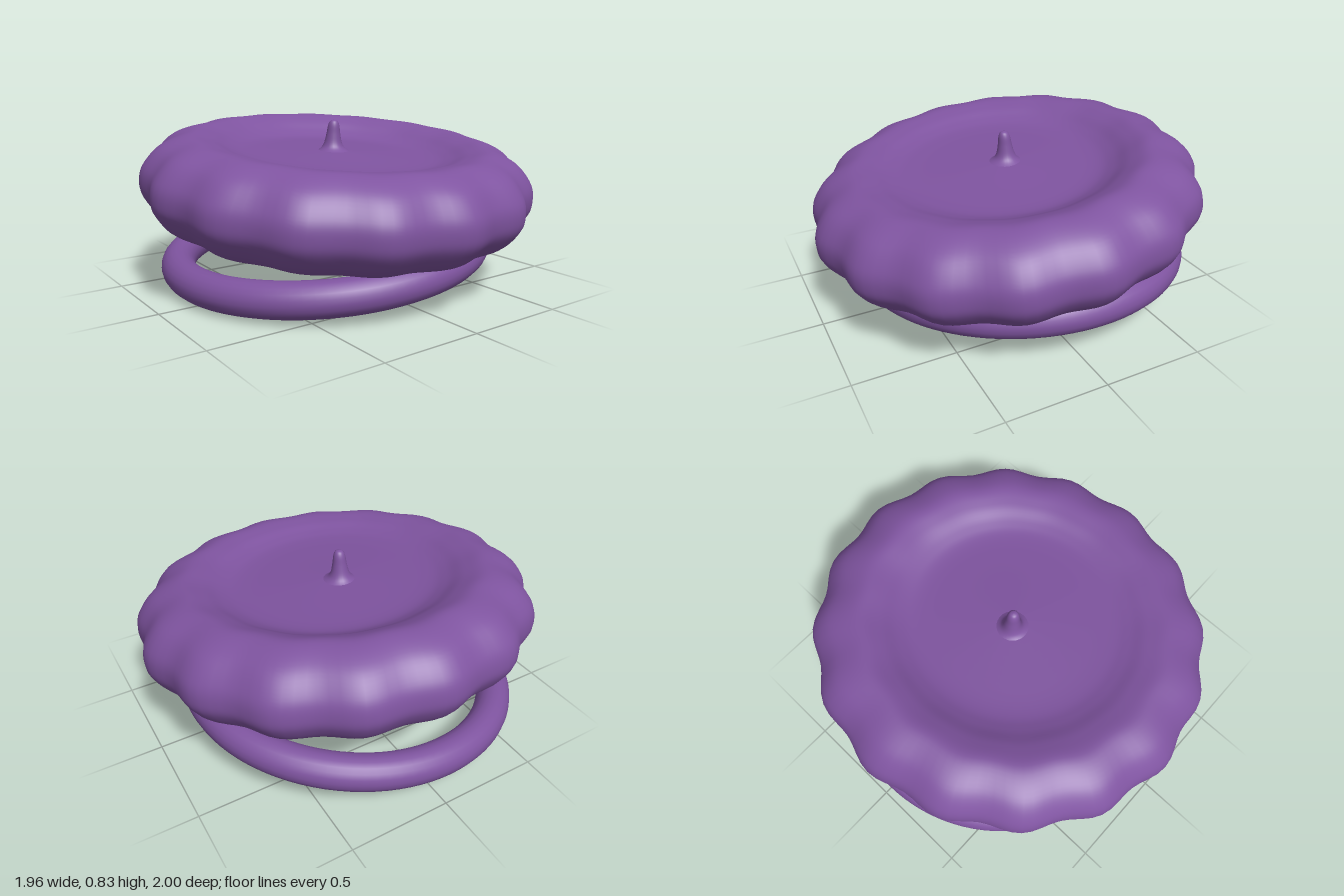
import * as THREE from 'three';
import { mergeVertices } from 'three/addons/utils/BufferGeometryUtils.js';

const material = new THREE.MeshStandardMaterial({ color: 0x7f54a0, roughness: 0.8 });
const TILT = 0.11;

// Smooth lathe through a few profile points (bottom to top), optionally reshaped by a rule
function smoothLathe(points, steps, segments, rule) {
  const curve = new THREE.SplineCurve(points.map(([r, y]) => new THREE.Vector2(r, y)));
  const profile = curve.getPoints(steps);
  profile.forEach((p) => { p.x = Math.max(p.x, 0); });
  let geo = new THREE.LatheGeometry(profile, segments);
  geo.deleteAttribute('uv');
  geo.deleteAttribute('normal');
  if (rule) {
    const pos = geo.attributes.position;
    const v = new THREE.Vector3();
    for (let i = 0; i < pos.count; i++) {
      rule(v.fromBufferAttribute(pos, i));
      pos.setXYZ(i, v.x, v.y, v.z);
    }
  }
  geo = mergeVertices(geo, 1e-5);
  geo.computeVertexNormals();
  return geo;
}

function addMesh(group, name, geometry) {
  const mesh = new THREE.Mesh(geometry, material);
  mesh.name = name;
  group.add(mesh);
  return mesh;
}

export function createModel() {
  const group = new THREE.Group();
  group.name = 'beret';

  // Puffy crown: flat underside, round rim, sunken top, sixteen soft lobes
  const crownProfile = [
    [0, -0.215], [0.3, -0.216], [0.58, -0.22], [0.76, -0.218], [0.9, -0.165],
    [0.98, -0.075], [1, 0], [0.98, 0.085], [0.9, 0.175], [0.77, 0.225],
    [0.66, 0.208], [0.57, 0.172], [0.48, 0.152], [0.3, 0.153], [0, 0.165],
  ];
  const crown = addMesh(group, 'crown', smoothLathe(crownProfile, 84, 128, (v) => {
    const r = Math.hypot(v.x, v.z);
    const a = Math.atan2(v.x, v.z);
    const rim = THREE.MathUtils.smoothstep(r, 0.5, 0.95);
    // the hollow is deeper towards the back right
    if (v.y > 0.1) {
      const hollow = 1 - THREE.MathUtils.smoothstep(r, 0.45, 0.75);
      v.y += 0.045 * hollow * (0.75 * v.x + 0.65 * v.z);
    }
    const lobe = 1 - rim * 0.017 * (1 - Math.cos(16 * a));
    v.x *= lobe * 0.985;
    v.z *= lobe;
  }));
  crown.position.y = 0.515;
  crown.rotation.z = -TILT;

  // Little stalk in the middle of the crown
  const stalkProfile = [
    [0.12, -0.015], [0.07, 0.012], [0.048, 0.04], [0.036, 0.09],
    [0.029, 0.135], [0.018, 0.157], [0, 0.163],
  ];
  const stalk = addMesh(group, 'stalk', smoothLathe(stalkProfile, 30, 24, (v) => {
    v.x += 0.08 * v.y; // leans slightly
  }));
  stalk.position.set(-0.02, 0.672, 0.02);

  // Head band: a ring that meets the crown at the back and left
  const band = addMesh(group, 'headBand',
    new THREE.TorusGeometry(0.78, 0.086, 20, 96).rotateX(Math.PI / 2));
  band.position.set(-0.095, 0.16, 0.015);
  band.rotation.x = 0.094;

  return group;
}
